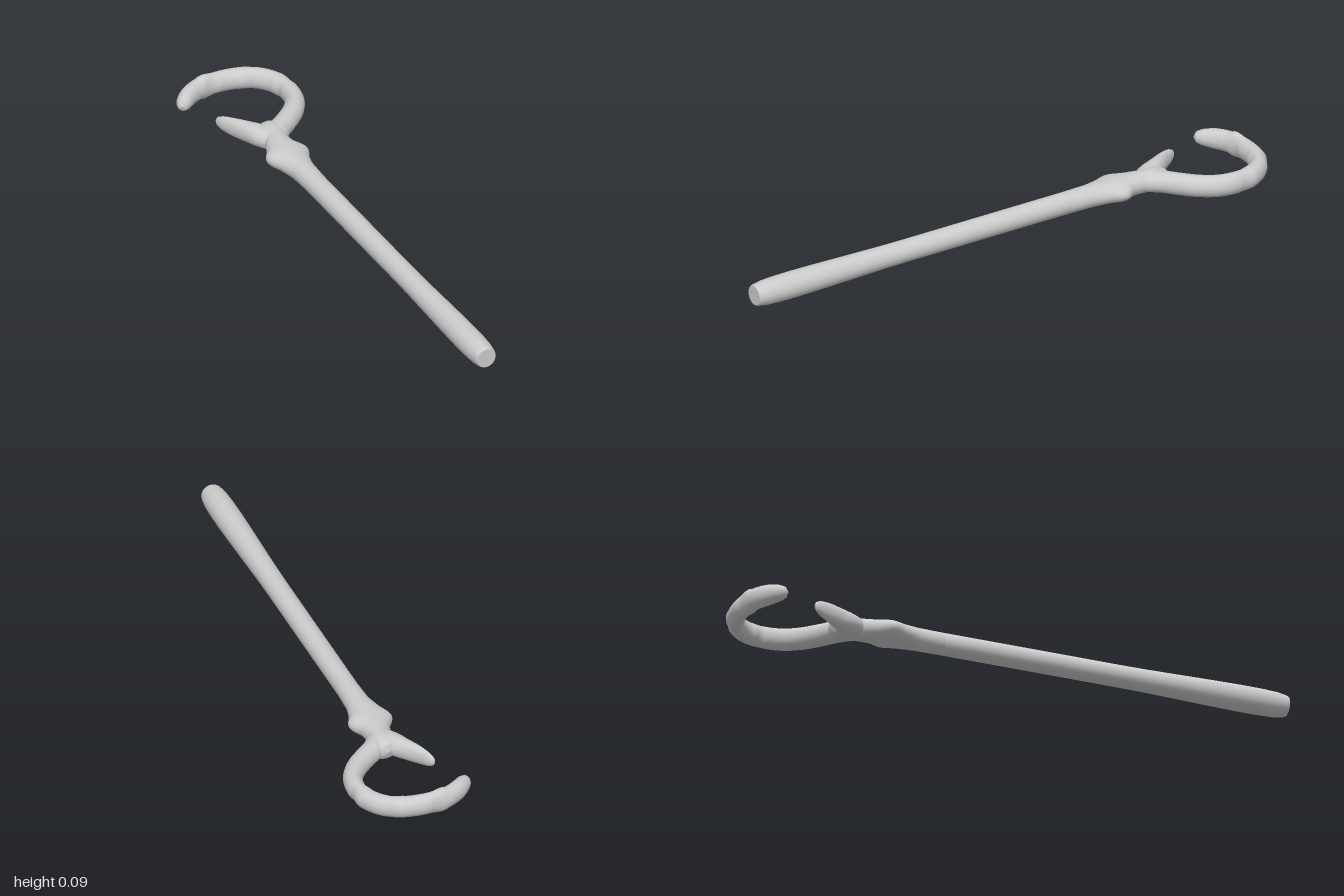
import * as THREE from 'three';

const MID = 0.04; // height of the centre plane
const material = new THREE.MeshStandardMaterial({ color: 0xcccccc });

// Smooth limb lying flat; each station is [x, z, half width, half height]
function limb(name, stations, steps, sides = 32) {
  const path = new THREE.CatmullRomCurve3(stations.map(([x, z]) => new THREE.Vector3(x, MID, z)));
  const size = new THREE.CatmullRomCurve3(stations.map(([, , a, b]) => new THREE.Vector3(a, b, 0)));
  const positions = [];
  const index = [];
  const up = new THREE.Vector3(0, 1, 0);
  for (let i = 0; i <= steps; i++) {
    const t = i / steps;
    const c = path.getPoint(t);
    const s = size.getPoint(t);
    const side = up.clone().cross(path.getTangent(t)).normalize();
    for (let j = 0; j < sides; j++) {
      const angle = (j / sides) * Math.PI * 2;
      const w = Math.cos(angle) * s.x;
      positions.push(c.x + side.x * w, c.y + Math.sin(angle) * s.y, c.z + side.z * w);
      if (i < steps) {
        const k = (j + 1) % sides;
        const p = i * sides;
        const q = p + sides;
        index.push(p + j, p + k, q + j, p + k, q + k, q + j);
      }
    }
  }
  const geometry = new THREE.BufferGeometry();
  geometry.setAttribute('position', new THREE.Float32BufferAttribute(positions, 3));
  geometry.setIndex(index);
  geometry.computeVertexNormals();
  const mesh = new THREE.Mesh(geometry, material);
  mesh.name = name;
  return mesh;
}

export function createModel() {
  const group = new THREE.Group();
  group.name = 'staff';

  // Round shaft with a softened end
  group.add(limb('shaft', [
    [-0.017, 1, 0.034, 0.034],
    [-0.017, 0.99, 0.038, 0.038],
    [-0.017, 0.4, 0.038, 0.038],
    [-0.017, -0.25, 0.038, 0.038],
  ], 24));
  const cap = new THREE.Mesh(new THREE.CircleGeometry(0.034, 32), material);
  cap.name = 'shaftEnd';
  cap.position.set(-0.017, MID, 1);
  group.add(cap);

  // Flared collar narrowing to the neck below the fork
  group.add(limb('collar', [
    [-0.017, -0.25, 0.038, 0.038],
    [-0.017, -0.34, 0.043, 0.038],
    [-0.018, -0.4, 0.058, 0.038],
    [-0.018, -0.45, 0.077, 0.038],
    [-0.016, -0.5, 0.052, 0.038],
    [-0.01, -0.55, 0.042, 0.038],
    [-0.004, -0.6, 0.058, 0.038],
    [-0.006, -0.635, 0.045, 0.028],
    [-0.008, -0.645, 0.001, 0.001],
  ], 64));

  // Large open hook curling round to a rounded tip
  group.add(limb('hook', [
    [-0.008, -0.53, 0.025, 0.03],
    [0.025, -0.6, 0.038, 0.037],
    [0.075, -0.643, 0.036, 0.038],
    [0.125, -0.69, 0.035, 0.038],
    [0.16, -0.745, 0.033, 0.038],
    [0.171, -0.81, 0.031, 0.038],
    [0.157, -0.88, 0.031, 0.038],
    [0.115, -0.935, 0.03, 0.038],
    [0.055, -0.963, 0.03, 0.038],
    [-0.02, -0.971, 0.029, 0.038],
    [-0.09, -0.961, 0.029, 0.038],
    [-0.14, -0.934, 0.029, 0.036],
    [-0.173, -0.903, 0.026, 0.028],
    [-0.186, -0.886, 0.017, 0.018],
    [-0.19, -0.879, 0.001, 0.001],
  ], 98));

  // Short blade-like prong opposite the hook
  group.add(limb('prong', [
    [-0.012, -0.53, 0.025, 0.03],
    [-0.04, -0.6, 0.04, 0.037],
    [-0.07, -0.65, 0.028, 0.037],
    [-0.095, -0.69, 0.02, 0.034],
    [-0.116, -0.73, 0.014, 0.026],
    [-0.126, -0.75, 0.008, 0.015],
    [-0.129, -0.756, 0.001, 0.001],
  ], 48));

  return group;
}
